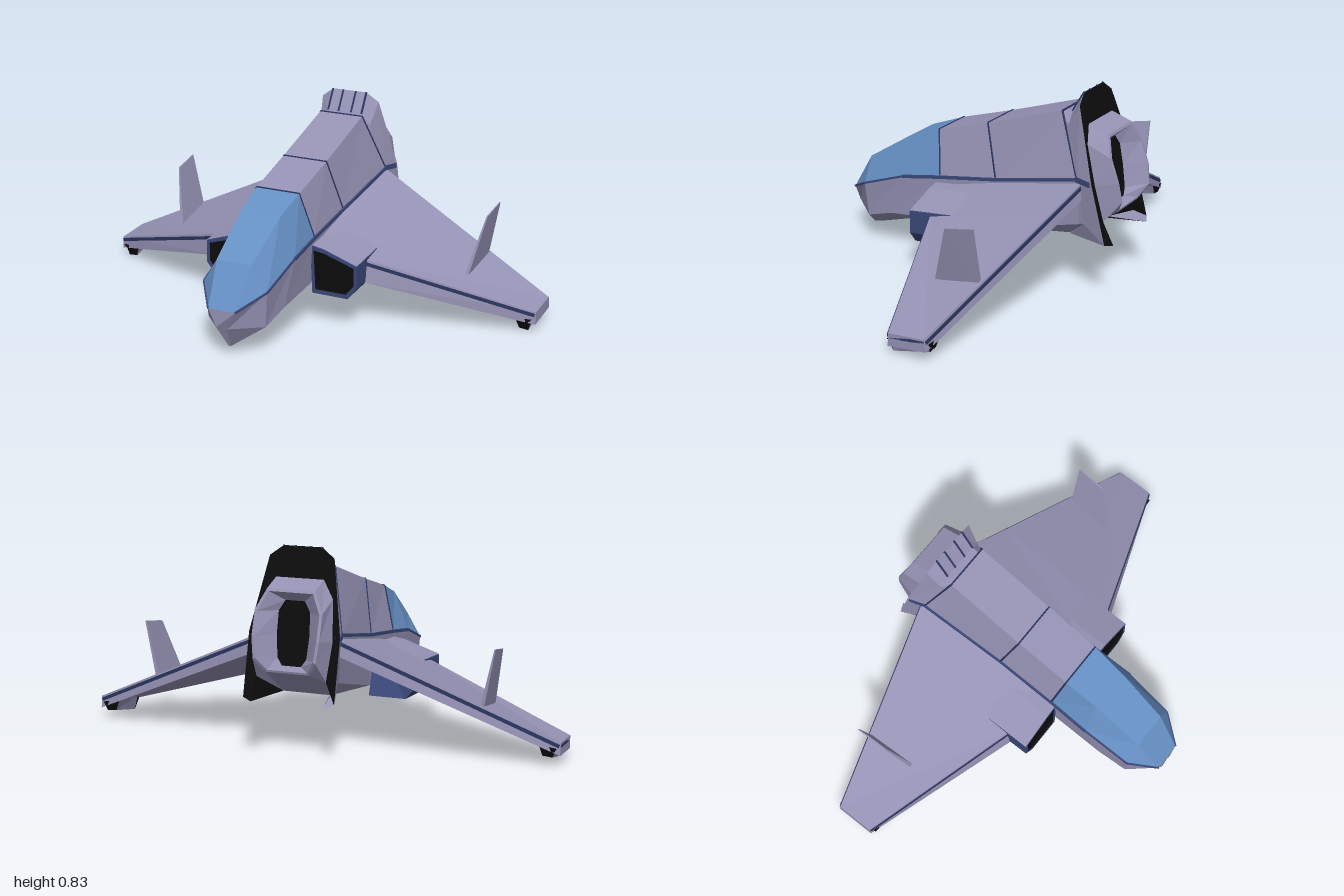
import * as THREE from 'three';

const mat = (color) => new THREE.MeshStandardMaterial({ color, flatShading: true, side: THREE.DoubleSide });
const HULL = mat(0x9592b4), GLASS = mat(0x6690c4), NAVY = mat(0x3a4878), TRIM = mat(0x2c3560), BLACK = mat(0x0c0c0c);

// Skin over cross-sections; each row is a list of [x, y, z] points.
function skin(name, rows, material, { closed = true, capStart = false, capEnd = false, side = 1 } = {}) {
  const pos = [];
  const tri = (a, b, c) => {
    for (const p of side > 0 ? [a, b, c] : [a, c, b]) pos.push(p[0] * side, p[1], p[2]);
  };
  const n = rows[0].length;
  for (let i = 0; i < rows.length - 1; i++) {
    for (let j = 0; j < (closed ? n : n - 1); j++) {
      const k = (j + 1) % n, r = rows[i], q = rows[i + 1];
      tri(r[j], r[k], q[j]);
      tri(r[k], q[k], q[j]);
    }
  }
  const last = rows[rows.length - 1];
  for (let k = 1; k < n - 1; k++) {
    if (capStart) tri(rows[0][0], rows[0][k + 1], rows[0][k]);
    if (capEnd) tri(last[0], last[k], last[k + 1]);
  }
  const g = new THREE.BufferGeometry();
  g.setAttribute('position', new THREE.Float32BufferAttribute(pos, 3));
  g.computeVertexNormals();
  const m = new THREE.Mesh(g, material);
  m.name = name;
  return m;
}

// Thin strip running between two points.
function strip(name, a, b, size, material = TRIM, side = 1) {
  const p = new THREE.Vector3(a[0] * side, a[1], a[2]), q = new THREE.Vector3(b[0] * side, b[1], b[2]);
  const m = new THREE.Mesh(new THREE.BoxGeometry(size, size, p.distanceTo(q)), material);
  m.position.copy(p).add(q).multiplyScalar(0.5);
  m.lookAt(q);
  m.name = name;
  return m;
}

// Mirrored outline from a right-hand half listed top to bottom; it starts and ends at the bottom.
const flip = (p) => [-p[0], p[1], p[2]];
const arch = (...half) => [...half.map(flip).reverse(), ...half];

// Shrink a loop towards its centre and shift it along z.
function inset(loop, sx, sy, dz) {
  const c = [0, 1, 2].map((i) => loop.reduce((s, p) => s + p[i], 0) / loop.length);
  return loop.map((p) => [c[0] + (p[0] - c[0]) * sx, c[1] + (p[1] - c[1]) * sy, c[2] + (p[2] - c[2]) * sy + dz]);
}

export function createModel() {
  const model = new THREE.Group();
  const add = (...m) => model.add(...m);

  // Fuselage stations, nose to tail
  const top = [[.06, .21, .67], [.078, .375, .565], [.09, .51, .35], [.098, .565, .2], [.1, .635, -.04], [.1, .745, -.385]];
  const base = [[.06, .21, .67], [.142, .27, .56], [.155, .345, .35], [.15, .375, .165], [.148, .415, -.105], [.168, .495, -.49]];
  const low = [[.025, .135, .67], [.13, .12, .55], [.145, .16, .42], [.14, .18, .165], [.14, .2, -.105], [.16, .31, -.52]];
  const keel = [[.005, .037, .61], [.03, .06, .54], [.07, .12, .37], [.09, .165, .165], [.1, .19, -.1], [.1, .235, -.435]];
  const arches = top.map((t, i) => arch(t, base[i]));
  const hullLoops = base.map((b, i) => [...[b, low[i], keel[i]], ...[keel[i], low[i], b].map(flip)]);
  add(skin('canopy', arches.slice(0, 4), GLASS, { closed: false }));
  add(skin('spine', arches.slice(3), HULL, { closed: false }));
  add(skin('lowerHull', hullLoops, HULL, { closed: false, capStart: true }));

  // Panel seams across the back and along the canopy base
  for (const i of [3, 4, 5]) for (let k = 0; k < 3; k++) add(strip('seam', arches[i][k], arches[i][k + 1], .006));
  for (const s of [1, -1]) {
    for (let i = 0; i < 5; i++) add(strip('sideTrim', base[i], base[i + 1], i < 2 ? .008 : .013, NAVY, s));
  }

  // Flared tail collar, open underneath, with a leg down each side
  const spineEnd = arch([.08, .742, -.38], [.1, .72, -.385], [.165, .5, -.48], [.16, .31, -.5], [.1, .235, -.43]);
  const collarFront = arch([.08, .745, -.42], [.12, .7, -.425], [.168, .5, -.49], [.165, .31, -.525], [.11, .235, -.435]);
  const collarRear = arch([.08, .83, -.47], [.135, .79, -.48], [.19, .5, -.565], [.19, .25, -.63], [.15, .24, -.65]);
  add(skin('tailCollar', [spineEnd, collarFront, collarRear], HULL, { closed: false }));
  for (const x of [-.08, -.03, .03, .08]) add(strip('collarRib', [x, .745, -.42], [x, .83, -.47], .007));
  for (const s of [1, -1]) add(strip('collarBand', [.16, .495, -.485], [.18, .49, -.56], .022, NAVY, s));

  // Exhaust nozzle: outer shell, lip, and a funnel sunk to a tall dark opening
  const root = arch([.1, .71, -.503], [.145, .64, -.523], [.16, .48, -.567], [.145, .33, -.6], [.1, .237, -.44]);
  const lip = arch([.1, .68, -.59], [.14, .6, -.62], [.14, .5, -.655], [.13, .415, -.668], [.09, .36, -.635]);
  const funnel = arch([.04, .63, -.55], [.065, .59, -.56], [.068, .5, -.575], [.06, .41, -.59], [.04, .38, -.595]);
  add(skin('collarRearFace', [collarRear, root], BLACK, { closed: false }));
  add(skin('nozzle', [root, lip, inset(lip, .92, .94, -.003), funnel], HULL));
  add(skin('exhaustOpening', [funnel, inset(funnel, .97, .97, .01)], BLACK, { capEnd: true }));

  for (const side of [1, -1]) {
    // Wing: sections are rear top, front top, front bottom, rear bottom
    const wing = [
      [[.14, .495, -.515], [.14, .345, .155], [.14, .245, .16], [.14, .425, -.522]],
      [[.35, .398, -.465], [.35, .283, .085], [.35, .19, .1], [.35, .334, -.474]],
      [[1, .1, -.312], [1, .088, -.152], [1, .035, -.15], [1, .05, -.32]],
    ];
    add(skin('wing', wing, HULL, { side, capStart: true, capEnd: true }));
    const [, mid, tip] = wing;
    const drop = (p, d) => [p[0] - .006, p[1] - d, p[2]];
    add(strip('leadingEdgeTrim', drop(mid[1], .015), drop(tip[1], .012), .014, TRIM, side));
    add(strip('trailingEdgeTrim', drop(wing[0][0], .015), drop(tip[0], .014), .014, TRIM, side));
    add(strip('tipTrim', drop(tip[0], .014), drop(tip[1], .014), .012, TRIM, side));

    // Pod under the wing tip with dark ends
    const pod = [[.055, .045, -.135], [.06, .004, -.155], [.075, .04, -.318], [.08, .065, -.328]].map(([t, b, z]) =>
      [[.915, t + .01, z], [.985, t, z], [.97, b, z], [.93, b + .004, z]]);
    add(skin('tipPodFront', pod.slice(0, 2), BLACK, { side, capStart: true }));
    add(skin('tipPod', pod.slice(1, 3), HULL, { side }));
    add(skin('tipPodRear', pod.slice(2), BLACK, { side, capEnd: true }));

    // Canted fin
    const finAt = (t) => [[.7 + t, .225, -.37], [.748 + t / 3, .46, -.37], [.742 + t / 3, .435, -.24], [.69 + t, .195, -.165]];
    add(skin('fin', [finAt(-.008), finAt(.008)], HULL, { side, capStart: true, capEnd: true }));

    // Air intake with a shallow dark mouth
    const profile = [[.14, .345], [.2, .335], [.35, .285], [.35, .19], [.31, .14], [.15, .14]];
    const rim = profile.map(([x, y]) => [x, y, .185]);
    const rear = profile.map(([x, y], i) => [x, i < 3 ? y + .02 : y + .025, i < 3 ? -.03 : -.135]);
    const mouth = inset(rim, .86, .82, 0);
    add(skin('intake', [mouth, rim, rear], NAVY, { side, capEnd: true }));
    add(skin('intakeMouth', [inset(mouth, .98, .98, -.01), mouth], BLACK, { side, capStart: true }));
    const raise = (p) => [p[0], p[1] + .004, p[2]];
    add(skin('intakeCover', [rim.slice(0, 3).map(raise), rear.slice(0, 3).map(raise)], HULL, { side, closed: false }));
  }
  return model;
}
